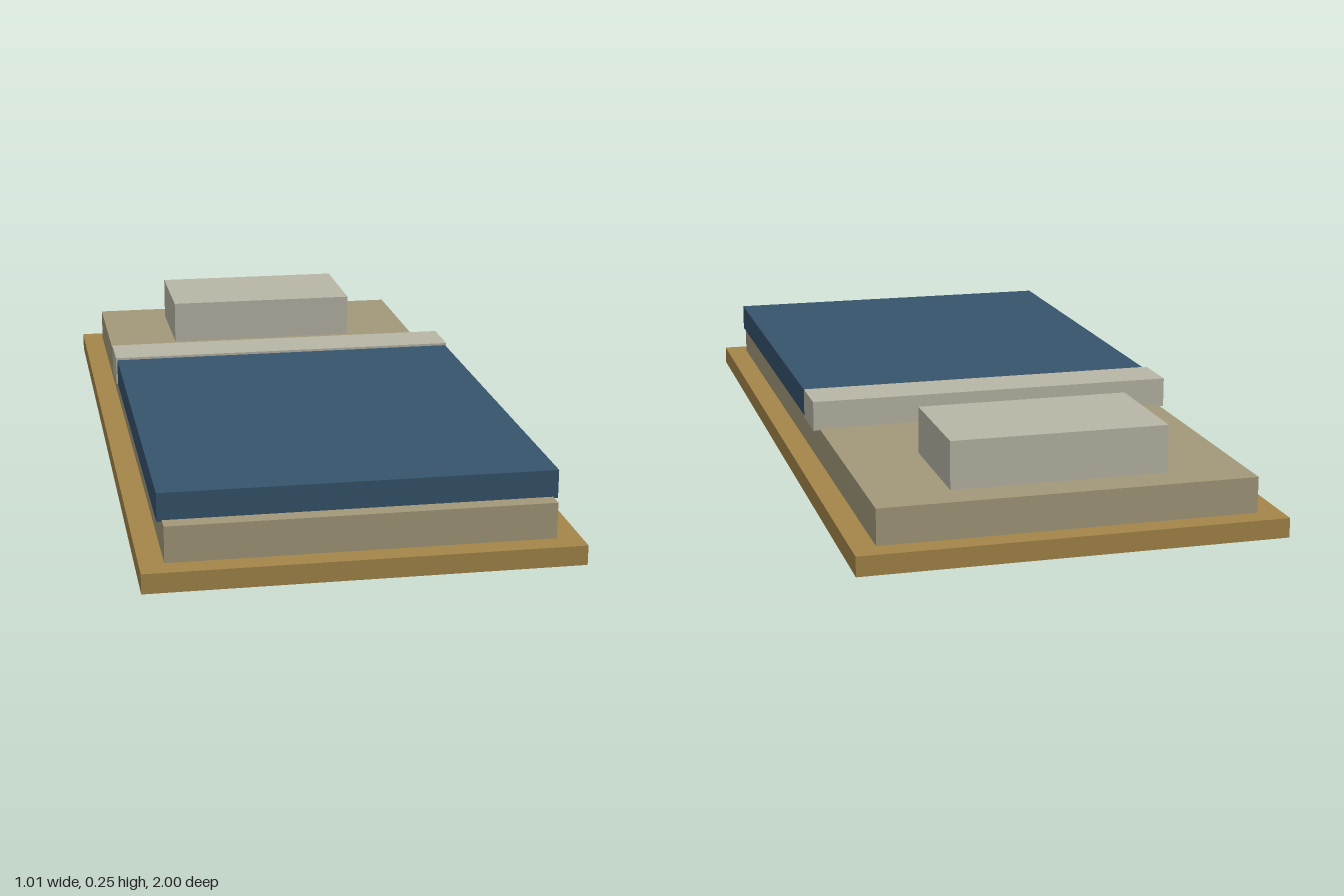
import * as THREE from 'three';

const paint = (name, color) => {
  const m = new THREE.MeshStandardMaterial({ color });
  m.name = name;
  return m;
};

export function createModel() {
  const wood = paint('wood', 0xa58649);
  const ticking = paint('mattress cloth', 0xa3997b);
  const linen = paint('pale linen', 0xb8b6a6);
  const wool = paint('blue wool', 0x36546d);

  const bed = new THREE.Group();
  bed.name = 'bed';

  // Box given by its width and its y and z extents, centred on x
  function slab(name, material, width, [y0, y1], [z0, z1]) {
    const mesh = new THREE.Mesh(new THREE.BoxGeometry(width, y1 - y0, z1 - z0), material);
    mesh.name = name;
    mesh.position.set(0, (y0 + y1) / 2, (z0 + z1) / 2);
    bed.add(mesh);
  }

  slab('frame', wood, 1.01, [0, 0.047], [-1, 1]);
  slab('mattress', ticking, 0.896, [0.047, 0.133], [-0.945, 0.945]);
  slab('blanket', wool, 0.919, [0.129, 0.197], [-0.162, 0.905]);
  slab('foldedSheet', linen, 0.926, [0.129, 0.203], [-0.292, -0.162]);
  slab('pillow', linen, 0.517, [0.133, 0.247], [-0.859, -0.558]);

  return bed;
}
